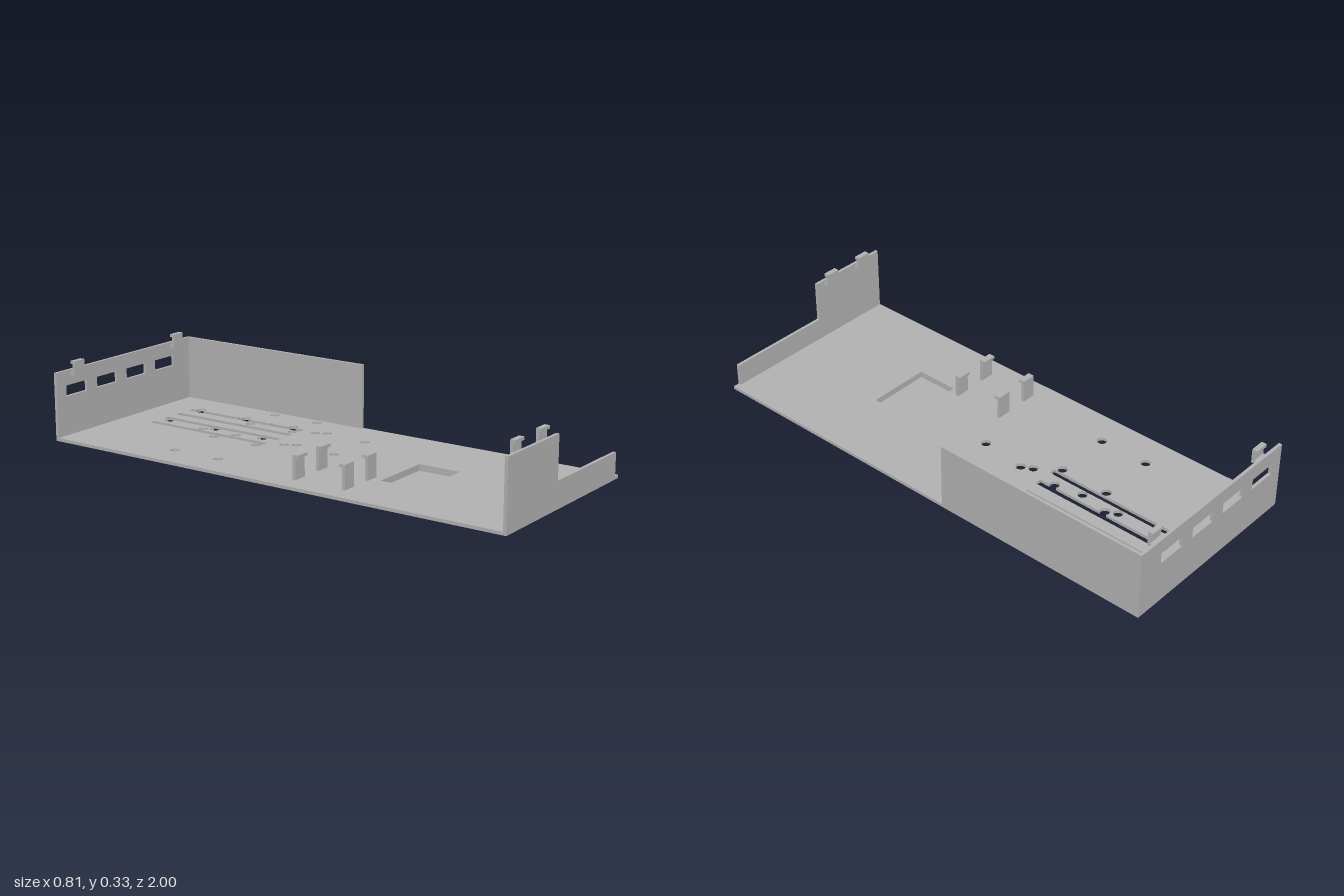
import * as THREE from 'three';

const HALF_W = 0.403, T = 0.0125, Y0 = 0.025, FLOOR = 0.0375, TOP = 0.295;
const R = 0.019; // screw hole radius

const rectPts = (x0, x1, y0, y1) => [[x0, y0], [x1, y0], [x1, y1], [x0, y1]];
const vecs = pts => pts.map(([x, y]) => new THREE.Vector2(x, y));
const shapeOf = (pts, holes = []) => {
  const s = new THREE.Shape(vecs(pts));
  s.holes = holes.map(h => new THREE.Path(vecs(h)));
  return s;
};
const arc = (cx, cz, a0, a1, n = 20) => Array.from({ length: n + 1 }, (_, i) => {
  const a = a0 + (a1 - a0) * i / n;
  return [cx + R * Math.cos(a), cz + R * Math.sin(a)];
});
const circle = (cx, cz) => arc(cx, cz, 0, Math.PI * 2 * 23 / 24, 23);

// Slot outline merged with the screw holes that cut through its long sides
function slot(x0, x1, z0, z1, holes) {
  const crosses = x => holes.filter(([cx]) => Math.abs(x - cx) < R).sort((a, b) => a[1] - b[1]);
  const pts = [[x0, z0], [x1, z0]];
  for (const [cx, cz] of crosses(x1)) {
    const a = Math.acos((x1 - cx) / R);
    pts.push(...arc(cx, cz, -a, a));
  }
  pts.push([x1, z1], [x0, z1]);
  for (const [cx, cz] of crosses(x0).reverse()) {
    const a = Math.acos((x0 - cx) / R);
    pts.push(...arc(cx, cz, a, Math.PI * 2 - a));
  }
  return pts;
}

export function createModel() {
  const group = new THREE.Group();
  const gray = new THREE.MeshStandardMaterial({ color: 0xb0b0b0 });
  gray.name = 'gray plastic';

  const add = (name, geo, x = 0, y = 0, z = 0) => {
    const m = new THREE.Mesh(geo, gray);
    m.name = name;
    m.position.set(x, y, z);
    group.add(m);
    return m;
  };
  const extrude = (shape, depth) => new THREE.ExtrudeGeometry(shape, { depth, bevelEnabled: false });
  // Horizontal plate: shape is (x, z), top surface at height y
  const plate = (name, shape, y, depth) => add(name, extrude(shape, depth).rotateX(Math.PI / 2), 0, y, 0);
  // Profile (z, y) extruded across x from x0 to x0 + w
  const across = (name, pts, x0, w, z, dir) =>
    add(name, extrude(shapeOf(pts.map(([d, y]) => [d * dir, y])), w).rotateY(-Math.PI / 2), x0 + w, 0, z);

  // Floor with screw holes, vent slots and a pocket opening
  const pocket = rectPts(-0.155, 0.102, 0.343, 0.517);
  const freeHoles = [], cutHoles = [];
  for (const z of [-0.512, -0.305])
    for (const x of [-0.273, -0.04, 0.193, 0.358]) freeHoles.push([x, z]);
  for (const z of [-0.81, -0.576, -0.342]) cutHoles.push([0.048, z], [0.252, z]);
  for (const z of [-0.618, -0.454]) {
    freeHoles.push([0.026, z]);
    cutHoles.push([0.23, z]);
  }
  freeHoles.push([0.048, -0.178], [0.252, -0.178]);
  for (const z of [-0.22, 0.013]) freeHoles.push([0.026, z], [0.23, z]);
  const slots = [[-0.02, 0.006], [0.06, 0.088], [0.137, 0.165], [0.214, 0.243]]
    .map(([a, b]) => slot(a, b, -0.847, -0.284, cutHoles));
  plate('floor', shapeOf(rectPts(-HALF_W, HALF_W, -1, 1),
    [pocket, ...slots, ...freeHoles.map(h => circle(...h))]), FLOOR, T);

  // Pocket tray hanging under the floor
  const trayOuter = rectPts(-0.166, 0.114, 0.335, 0.53);
  plate('trayRim', shapeOf(trayOuter, [pocket]), Y0, Y0 - T);
  plate('trayBottom', shapeOf(trayOuter), T, T);

  // Back wall with four windows
  const windows = [-0.35, -0.175, 0, 0.175].map(x => rectPts(x, x + 0.117, 0.193, 0.236));
  add('backWall', extrude(shapeOf(rectPts(-HALF_W, HALF_W, FLOOR, TOP), windows), T), 0, 0, -1);

  // Stepped front wall
  add('frontWall', extrude(shapeOf([[-HALF_W, FLOOR], [0.378, FLOOR], [0.378, 0.128],
    [-0.058, 0.128], [-0.058, TOP], [-HALF_W, TOP]]), T), 0, 0, 1 - T);

  // Side wall
  const len = 0.89 - T;
  add('sideWall', new THREE.BoxGeometry(T, TOP - FLOOR, len),
    HALF_W - T / 2, (TOP + FLOOR) / 2, -1 + T + len / 2);

  // Snap clips on the front and back walls, lips pointing outward
  const clip = [[0, 0.273], [0.025, 0.273], [0.025, 0.33], [0.004, 0.33],
    [0.004, 0.318], [0.014, 0.318], [0.014, 0.285], [0, 0.285]];
  for (const x of [-0.327, -0.154]) across('frontClip', clip, x, 0.057, 1 - T, -1);
  for (const x of [-0.327, 0.267]) across('backClip', clip, x, 0.057, -1 + T, 1);

  // Board holder posts, lips facing each other
  const post = [[0, FLOOR], [0.012, FLOOR], [0.012, 0.119], [0.025, 0.119], [0.025, 0.131], [0, 0.131]];
  for (const x of [-0.327, -0.185]) {
    across('boardPost', post, x, 0.057, 0.307, -1);
    across('boardPost', post, x, 0.057, 0.08, 1);
  }
  return group;
}
